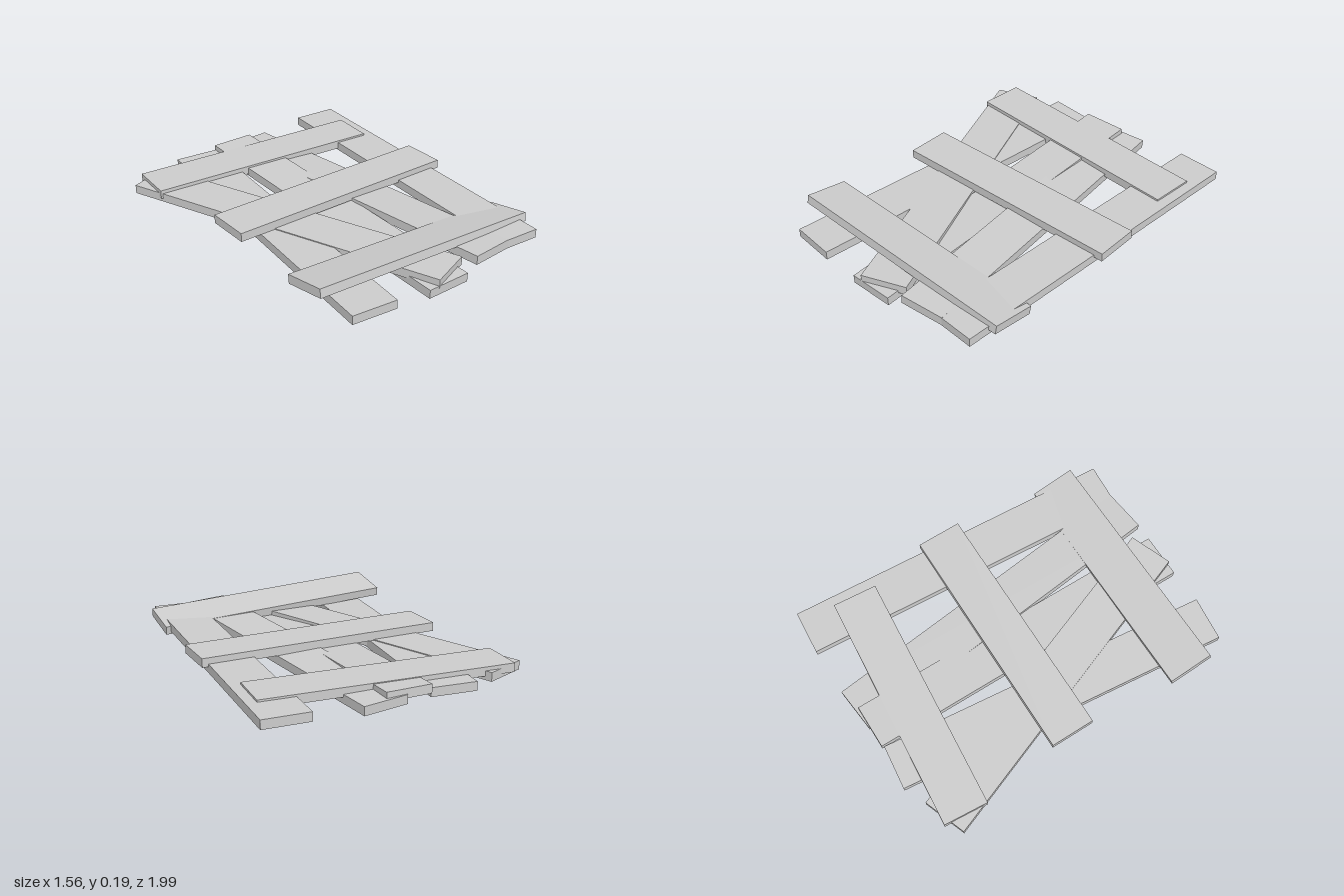
import * as THREE from 'three';

const WIDTH = 0.258, THICK = 0.05;

// One board running between the centres of its two ends, rolled about its length.
function plank(name, from, to, roll, material) {
  const a = new THREE.Vector3(...from), b = new THREE.Vector3(...to);
  const mesh = new THREE.Mesh(new THREE.BoxGeometry(WIDTH, THICK, a.distanceTo(b)), material);
  mesh.name = name;
  mesh.position.copy(a).add(b).multiplyScalar(0.5);
  mesh.lookAt(b);
  mesh.rotateZ(roll);
  return mesh;
}

export function createModel() {
  const group = new THREE.Group();
  group.name = 'plankBarricade';
  const material = new THREE.MeshStandardMaterial({ color: 0xcccccc, flatShading: true });

  const boards = [
    // long boards, back to front
    ['diagonalBoard', [-0.66, 0.065, -0.873], [0.03, 0.065, 0.947], 0],
    ['rightBoard', [-0.282, 0.06, -0.965], [-0.495, 0.06, 0.975], 0],
    ['middleBoard', [-0.023, 0.085, -0.963], [-0.023, 0.027, 0.99], 0],
    ['innerLeftBoard', [0.117, 0.052, -0.982], [0.318, 0.08, 0.958], -0.03],
    ['outerLeftBoard', [0.648, 0.075, -0.992], [0.517, 0.075, 0.95], 0],
    // cross boards, right to left
    ['backCrossBoard', [-0.71, 0.086, -0.768], [0.695, 0.086, -0.652], 0],
    ['middleCrossBoard', [-0.652, 0.11, -0.052], [0.757, 0.11, -0.052], 0],
    ['frontCrossBoard', [-0.705, 0.148, 0.695], [0.7, 0.08, 0.705], -0.174],
  ];
  for (const [name, from, to, roll] of boards) group.add(plank(name, from, to, roll, material));
  return group;
}
